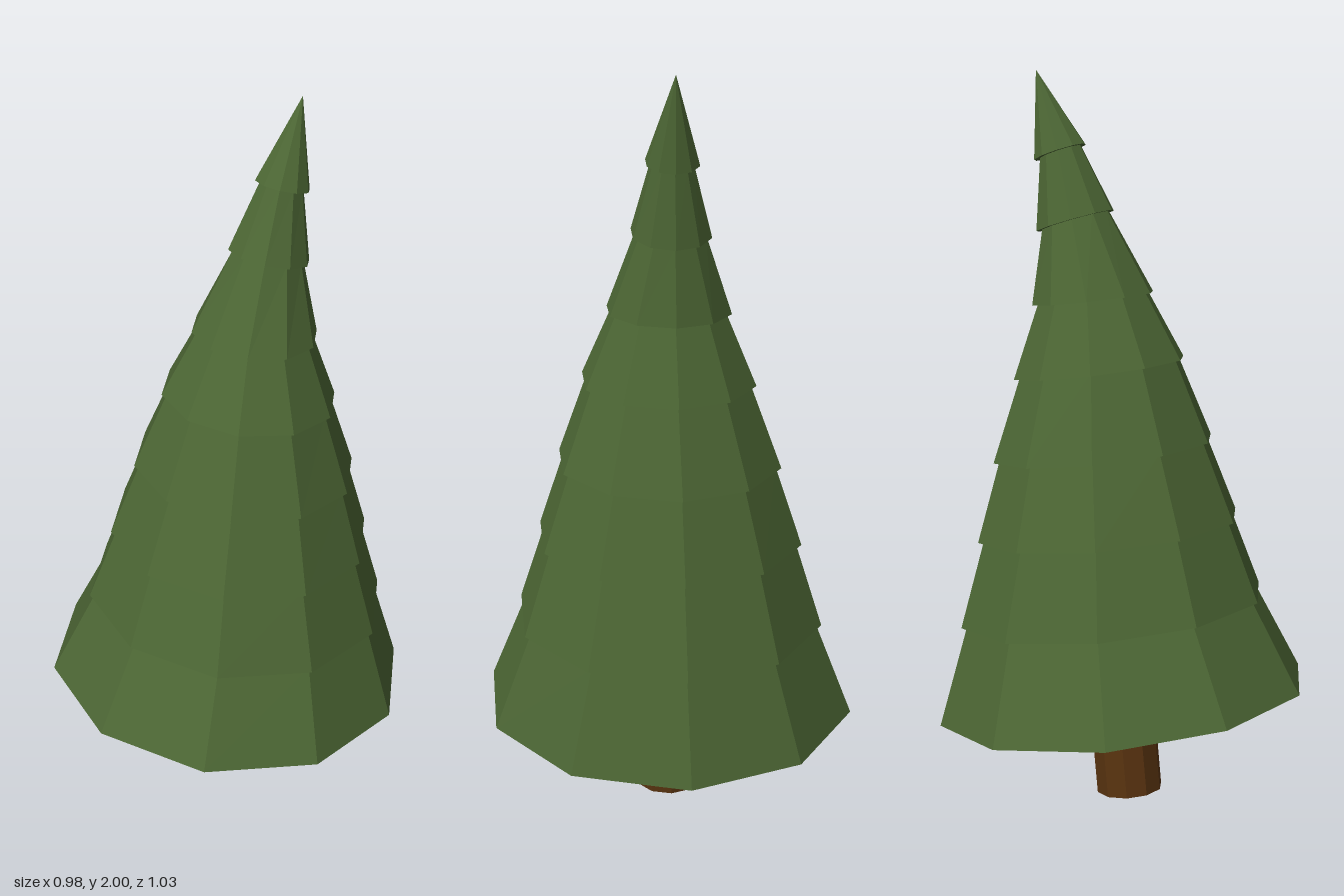
import * as THREE from 'three';

const SIDES = 10;

// Tilted ring: centre (x, y, z), radius r, front rim raised by tilt
function ringPoints({ x, y, z, r, tilt }) {
  return Array.from({ length: SIDES }, (_, i) => {
    const a = (i / SIDES) * Math.PI * 2;
    return new THREE.Vector3(x + r * Math.sin(a), y + tilt * Math.cos(a), z + r * Math.cos(a));
  });
}

// Closed, capped solid between two tilted rings
function frustum(name, lower, upper, material) {
  const lo = ringPoints(lower);
  const up = ringPoints(upper);
  const lowCentre = new THREE.Vector3(lower.x, lower.y, lower.z);
  const upCentre = new THREE.Vector3(upper.x, upper.y, upper.z);
  const points = [];
  for (let i = 0; i < SIDES; i++) {
    const j = (i + 1) % SIDES;
    points.push(lo[i], lo[j], up[j]);
    points.push(lowCentre, lo[j], lo[i]);
    if (upper.r > 0) {
      points.push(lo[i], up[j], up[i]);
      points.push(upCentre, up[i], up[j]);
    }
  }
  const geometry = new THREE.BufferGeometry().setFromPoints(points);
  geometry.computeVertexNormals();
  const mesh = new THREE.Mesh(geometry, material);
  mesh.name = name;
  return mesh;
}

export function createModel() {
  const tree = new THREE.Group();
  tree.name = 'tree';
  const foliage = new THREE.MeshStandardMaterial({ color: 0x4c6634, flatShading: true });
  const bark = new THREE.MeshStandardMaterial({ color: 0x5a3410, flatShading: true });

  // Trunk, leaning slightly back
  tree.add(frustum('trunk',
    { x: 0, y: 0.008, z: 0.02, r: 0.092, tilt: 0.008 },
    { x: 0, y: 0.33, z: -0.01, r: 0.092, tilt: 0.008 }, bark));

  // Lower rim of each foliage tier, ending in the tip: x, y, z, radius, tilt
  const rims = [
    [0, 0.281, 0, 0.515, 0.064],
    [0.003, 0.537, -0.033, 0.425, 0.05],
    [0.004, 0.763, -0.045, 0.365, 0.038],
    [0.006, 0.978, -0.061, 0.306, 0.036],
    [0.009, 1.201, -0.074, 0.237, 0.032],
    [0.01, 1.39, -0.093, 0.168, 0.02],
    [0.01, 1.598, -0.145, 0.107, 0.032],
    [0.012, 1.781, -0.19, 0.071, 0.024],
    [0.012, 2, -0.26, 0, 0],
  ].map(([x, y, z, r, tilt]) => ({ x, y, z, r, tilt }));

  // Each tier tucks just inside the rim of the one above
  for (let i = 0; i < rims.length - 1; i++) {
    const next = rims[i + 1];
    const top = { ...next, r: Math.max(0, next.r - 0.016), y: next.y + (next.r ? 0.004 : 0) };
    tree.add(frustum(`foliageTier${i + 1}`, rims[i], top, foliage));
  }
  return tree;
}
